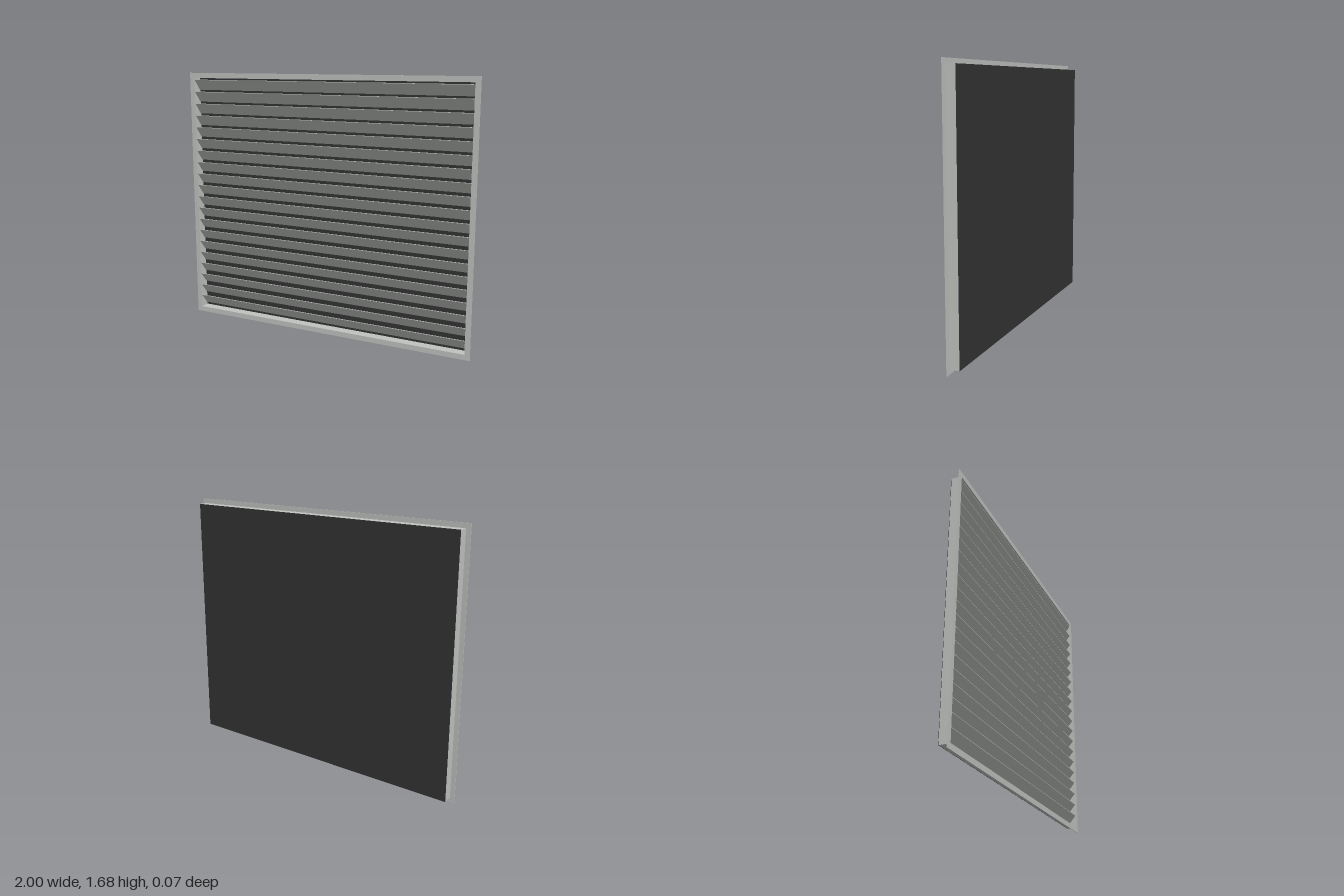
import * as THREE from 'three';

const W = 2, H = 1.685, D = 0.066;   // overall size
const RIM = 0.03, WALL = 0.004;      // flange width and sheet thickness
const BLADES = 20, PITCH = 0.08;

// Rectangular ring facing +z, extruded from z to z + depth
function ring(width, height, border, depth, z) {
  const shape = new THREE.Shape();
  const x = width / 2, y = height / 2;
  shape.moveTo(-x, -y).lineTo(x, -y).lineTo(x, y).lineTo(-x, y).closePath();
  const hole = new THREE.Path();
  const a = x - border, b = y - border;
  hole.moveTo(-a, -b).lineTo(-a, b).lineTo(a, b).lineTo(a, -b).closePath();
  shape.holes.push(hole);
  return new THREE.ExtrudeGeometry(shape, { depth, bevelEnabled: false }).translate(0, H / 2, z);
}

export function createModel() {
  const metal = new THREE.MeshStandardMaterial({ color: 0xbfc2bf });
  metal.name = 'light grey metal';
  const dark = new THREE.MeshStandardMaterial({ color: 0x333333 });
  dark.name = 'dark backing';

  const group = new THREE.Group();
  group.name = 'louvreGrille';
  const add = (name, geometry, material) => {
    const mesh = new THREE.Mesh(geometry, material);
    mesh.name = name;
    group.add(mesh);
  };

  const innerW = W - 2 * RIM, innerH = H - 2 * RIM;
  const back = -D / 2, front = D / 2;

  // Thin front flange and the box-shaped sleeve behind it
  add('flange', ring(W, H, RIM + WALL, 0.003, front - 0.003), metal);
  add('sleeve', ring(innerW, innerH, WALL, D - 0.005, back + 0.002), metal);

  // Dark sheet closing the back
  add('backPanel', new THREE.BoxGeometry(innerW, innerH, 0.002).translate(0, H / 2, back + 0.001), dark);

  // Slanted blades: high at the front, low at the back
  const blade = new THREE.Shape();
  const zb = back + 0.003, zf = front - 0.004;
  blade.moveTo(zb, 0).lineTo(zb + 0.004, 0).lineTo(zf, 0.067).lineTo(zf, 0.07).lineTo(zf - 0.004, 0.07)
    .lineTo(zb, 0.004).closePath();
  const length = innerW - 2 * WALL;
  const bladeGeometry = new THREE.ExtrudeGeometry(blade, { depth: length, bevelEnabled: false })
    .translate(0, 0, -length / 2).rotateY(-Math.PI / 2);
  // the turn maps the profile's x axis to +z
  for (let i = 0; i < BLADES; i++) {
    add('blade' + (i + 1), bladeGeometry.clone().translate(0, 0.05 + i * PITCH, 0), metal);
  }
  return group;
}
